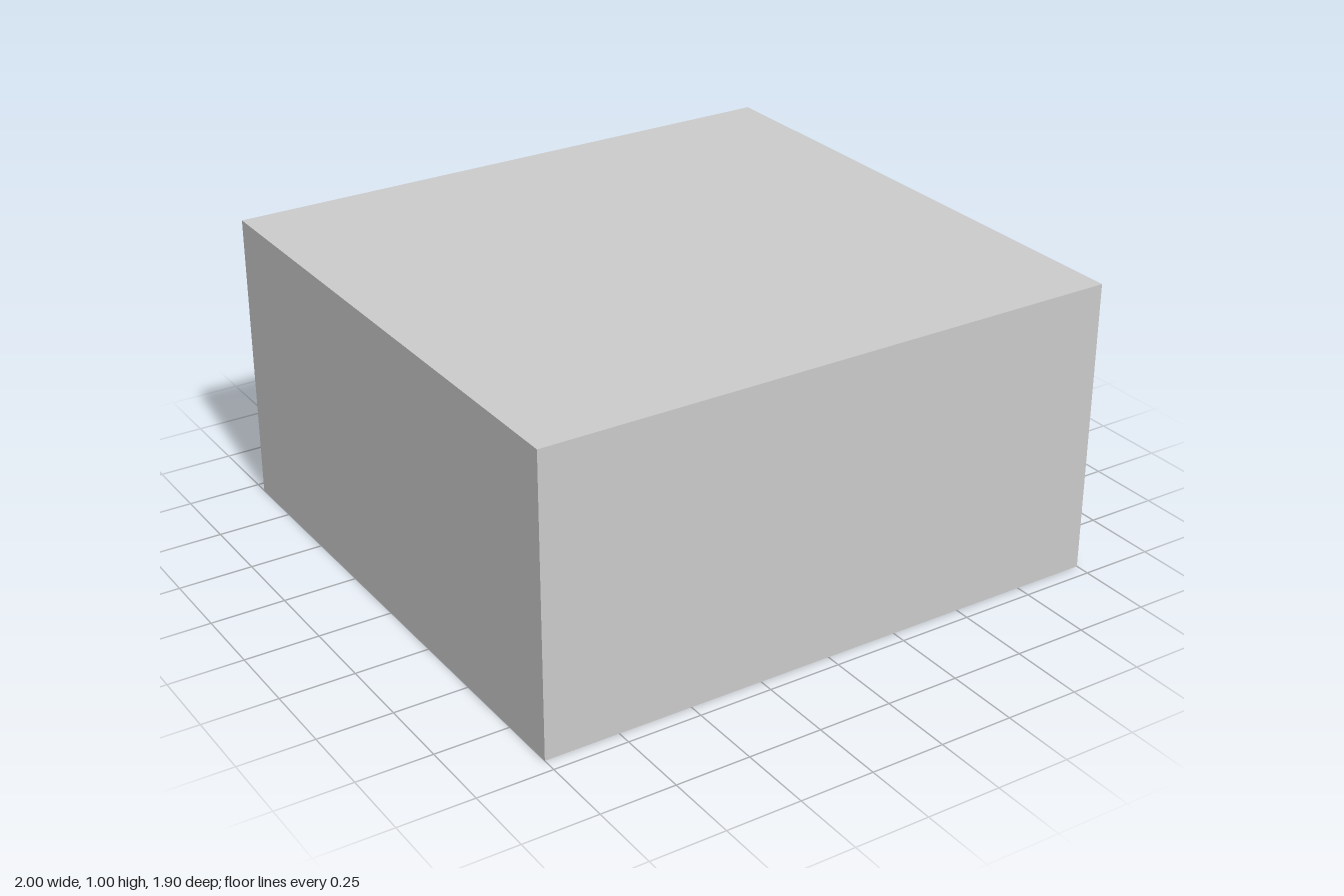
import * as THREE from 'three';

const material = new THREE.MeshStandardMaterial({ color: 0xcccccc, side: THREE.DoubleSide, flatShading: true });

const W = 1, D = 0.95, H = 1, T = 0.03;      // half width, half depth, height, wall thickness
const DOOR = [-0.235, 0.135];                // x range shared by both doorways
const DOOR_TOP = 0.497;
const CORE_FRONT = -0.18;

const rect = (x0, y0, x1, y1) => [[x0, y0], [x1, y0], [x1, y1], [x0, y1]];
const vectors = (points) => points.map(([x, y]) => new THREE.Vector2(x, y));

// Thin wall that follows an outline in xy and runs from z0 to z1
function ribbon(points, z0, z1, closed = true) {
  const position = [];
  const count = closed ? points.length : points.length - 1;
  for (let i = 0; i < count; i++) {
    const [px, py] = points[i];
    const [qx, qy] = points[(i + 1) % points.length];
    position.push(px, py, z0, qx, qy, z0, qx, qy, z1, px, py, z0, qx, qy, z1, px, py, z1);
  }
  const geometry = new THREE.BufferGeometry();
  geometry.setAttribute('position', new THREE.Float32BufferAttribute(position, 3));
  geometry.computeVertexNormals();
  return geometry;
}

// Flat sheet in xy with an optional hole
function sheet(outline, hole) {
  const shape = new THREE.Shape(vectors(outline));
  if (hole) shape.holes.push(new THREE.Path(vectors(hole)));
  return new THREE.ShapeGeometry(shape);
}

// Plan versions: the outline is given in x and z
const planWall = (points, y0, y1, closed) => ribbon(points, -y1, -y0, closed).rotateX(Math.PI / 2);
const planSheet = (outline, hole, y) => sheet(outline, hole).rotateX(Math.PI / 2).translate(0, y, 0);

export function createModel() {
  const model = new THREE.Group();
  const add = (name, geometry) => {
    const mesh = new THREE.Mesh(geometry, material);
    mesh.name = name;
    model.add(mesh);
  };

  const iw = W - T, id = D - T, floorY = T, ceilingY = H - T;
  const doorway = rect(DOOR[0], floorY - 0.005, DOOR[1], DOOR_TOP);

  // Outer shell, open underneath
  add('outerWalls', planWall([[W, -D], [W, D], [-W, D], [-W, -D]], 0, H, false));
  add('outerBackWall', sheet(rect(-W, 0, W, H), doorway).translate(0, 0, -D));
  add('roof', planSheet(rect(-W, -D, W, D), null, H));

  // Room lining
  add('innerWalls', planWall([[-iw, -id], [-iw, id], [iw, id], [iw, -id]], floorY, ceilingY, false));
  add('innerBackWall', sheet(rect(-iw, floorY - 0.005, iw, ceilingY), doorway).translate(0, 0, -id));
  add('doorReveal', ribbon([...doorway].reverse(), -D, -id));

  // Hollow U-shaped core around a small closet, with a lip each side of the closet door
  const lip = CORE_FRONT + T;
  const core = [
    [-0.595, CORE_FRONT], [DOOR[0], CORE_FRONT], [DOOR[0], lip], [-0.266, lip],
    [-0.266, 0.44], [0.169, 0.44], [0.169, lip], [DOOR[1], lip],
    [DOOR[1], CORE_FRONT], [0.595, CORE_FRONT], [0.595, 0.547], [-0.595, 0.547],
  ];
  add('coreWalls', planWall(core, floorY, ceilingY));
  add('floor', planSheet(rect(-iw, -id, iw, id), core, floorY));
  add('ceiling', planSheet(rect(-iw, -id, iw, id), core, ceilingY));

  // Wall over the closet door
  const lintel = new THREE.BoxGeometry(DOOR[1] - DOOR[0], ceilingY - DOOR_TOP, T);
  lintel.translate((DOOR[0] + DOOR[1]) / 2, (ceilingY + DOOR_TOP) / 2, CORE_FRONT + T / 2);
  add('closetLintel', lintel);

  return model;
}
